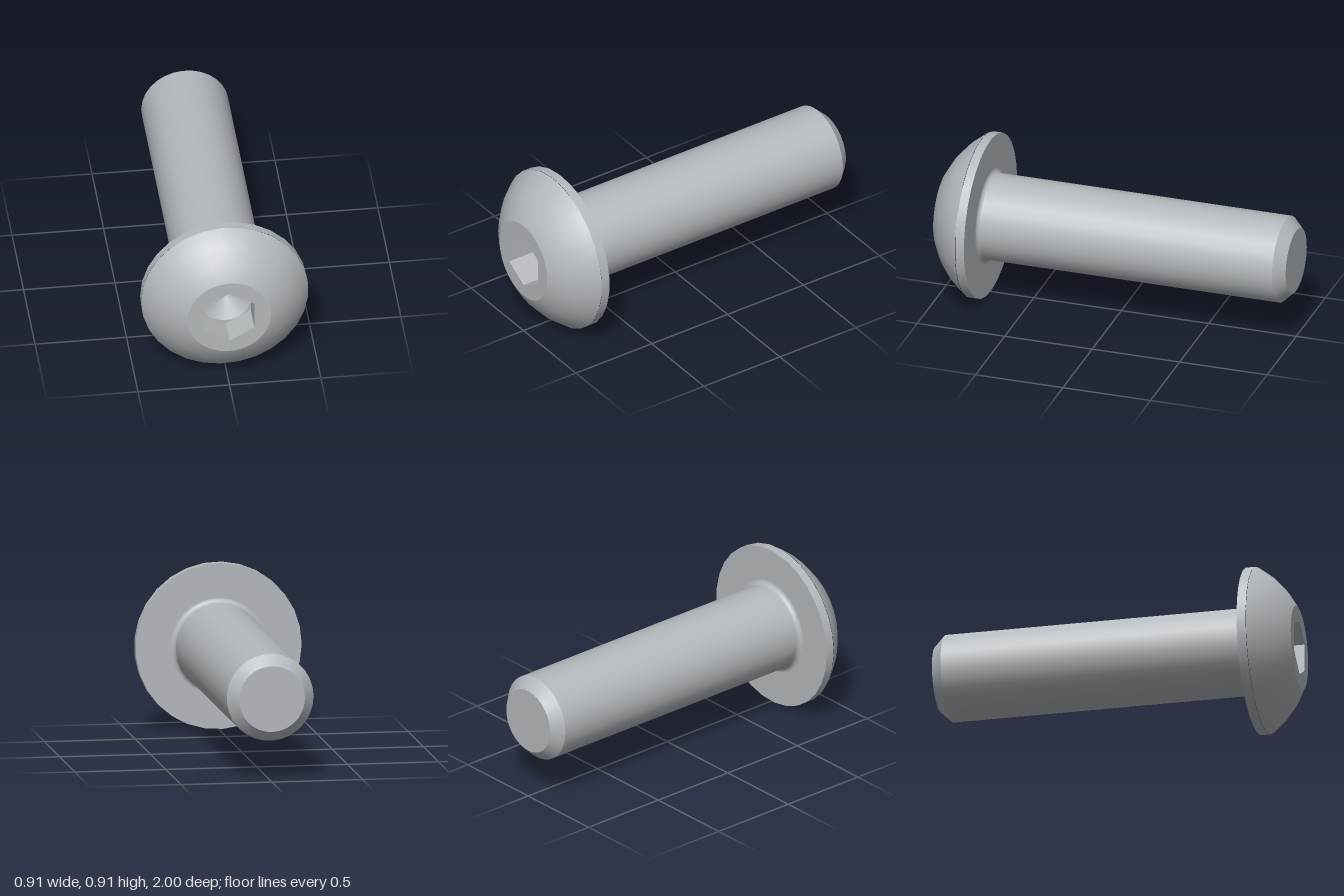
import * as THREE from 'three';

const SIDES = 29;
const AXIS_Y = 0.457;      // height of the screw axis
const HEAD_R = 0.457, FACE_R = 0.228, SHANK_R = 0.239;
const HEX_R = 0.158, DRILL_R = 0.137, FLOOR_Z = 0.84;

export function createModel() {
  const steel = new THREE.MeshStandardMaterial({ color: 0xb4b9bd });
  steel.name = 'steel';
  const screw = new THREE.Group();
  screw.name = 'buttonHeadScrew';

  const add = (parent, name, geometry) => {
    const mesh = new THREE.Mesh(geometry, steel);
    mesh.name = name;
    parent.add(mesh);
  };
  const group = (name) => {
    const g = new THREE.Group();
    g.name = name;
    g.position.y = AXIS_Y;
    screw.add(g);
    return g;
  };
  // Surface of revolution about z from [radius, z] points; rising z faces outward
  const turned = (points, sides = SIDES, start = -Math.PI / 2) =>
    new THREE.LatheGeometry(points.map(([r, z]) => new THREE.Vector2(r, z)), sides, start)
      .rotateX(Math.PI / 2);
  // Regular polygon outline
  const polygon = (Type, r, n, start) => new Type(Array.from({ length: n }, (_, i) => {
    const a = start + (i / n) * Math.PI * 2;
    return new THREE.Vector2(r * Math.cos(a), r * Math.sin(a));
  }));
  // Flat plate facing +z with a polygonal hole
  const plate = (outer, hole, z) => {
    outer.holes.push(hole);
    return new THREE.ShapeGeometry(outer).translate(0, 0, z);
  };

  // Head: spherical dome, flat face, rim and underside
  const head = group('head');
  const domeC = 0.508, domeR = Math.hypot(FACE_R, 1 - domeC);
  const t0 = Math.asin(FACE_R / domeR), t1 = Math.asin(HEAD_R / domeR);
  add(head, 'dome', new THREE.SphereGeometry(domeR, SIDES, 3, 0, Math.PI * 2, t0, t1 - t0)
    .rotateX(Math.PI / 2).translate(0, 0, domeC));
  add(head, 'frontFace', plate(polygon(THREE.Shape, FACE_R, SIDES, Math.PI),
    polygon(THREE.Path, HEX_R, 6, Math.PI / 2), 1));
  add(head, 'rim', turned([[HEAD_R, 0.748], [HEAD_R, 0.798]]));
  add(head, 'underside', turned([[0.268, 0.748], [HEAD_R, 0.748]]));

  // Hexagonal socket with a conical drilled bottom
  const socket = group('socket');
  const walls = turned([[HEX_R, 1], [HEX_R, FLOOR_Z]], 6, 0).toNonIndexed();
  walls.computeVertexNormals();
  add(socket, 'hexWalls', walls);
  add(socket, 'socketFloor', plate(polygon(THREE.Shape, HEX_R, 6, Math.PI / 2),
    polygon(THREE.Path, DRILL_R - 0.0005, SIDES, Math.PI), FLOOR_Z));
  add(socket, 'drillCone', turned([[DRILL_R, FLOOR_Z], [0, FLOOR_Z - 0.08]]));

  // Shank with a fillet under the head and a chamfered tip
  const shank = group('shank');
  const filletR = 0.029, cr = SHANK_R + filletR, cz = 0.748 - filletR;
  const arc = Array.from({ length: 6 }, (_, i) => {
    const a = (i / 5) * Math.PI / 2;
    return [cr - filletR * Math.cos(a), cz + filletR * Math.sin(a)];
  });
  const fillet = turned(arc);
  // Exact concave normals, so the fillet blends into the shank
  const p = fillet.attributes.position, n = fillet.attributes.normal;
  for (let i = 0; i < p.count; i++) {
    const r = Math.hypot(p.getX(i), p.getY(i));
    const k = (cr - r) / filletR / r;
    n.setXYZ(i, p.getX(i) * k, p.getY(i) * k, (cz - p.getZ(i)) / filletR);
  }
  add(shank, 'fillet', fillet);
  add(shank, 'shaft', turned([[SHANK_R, -0.94], [SHANK_R, cz]]));
  add(shank, 'tipChamfer', turned([[0.181, -1], [SHANK_R, -0.94]]));
  add(shank, 'tipFace', turned([[0, -1], [0.181, -1]]));

  return screw;
}
